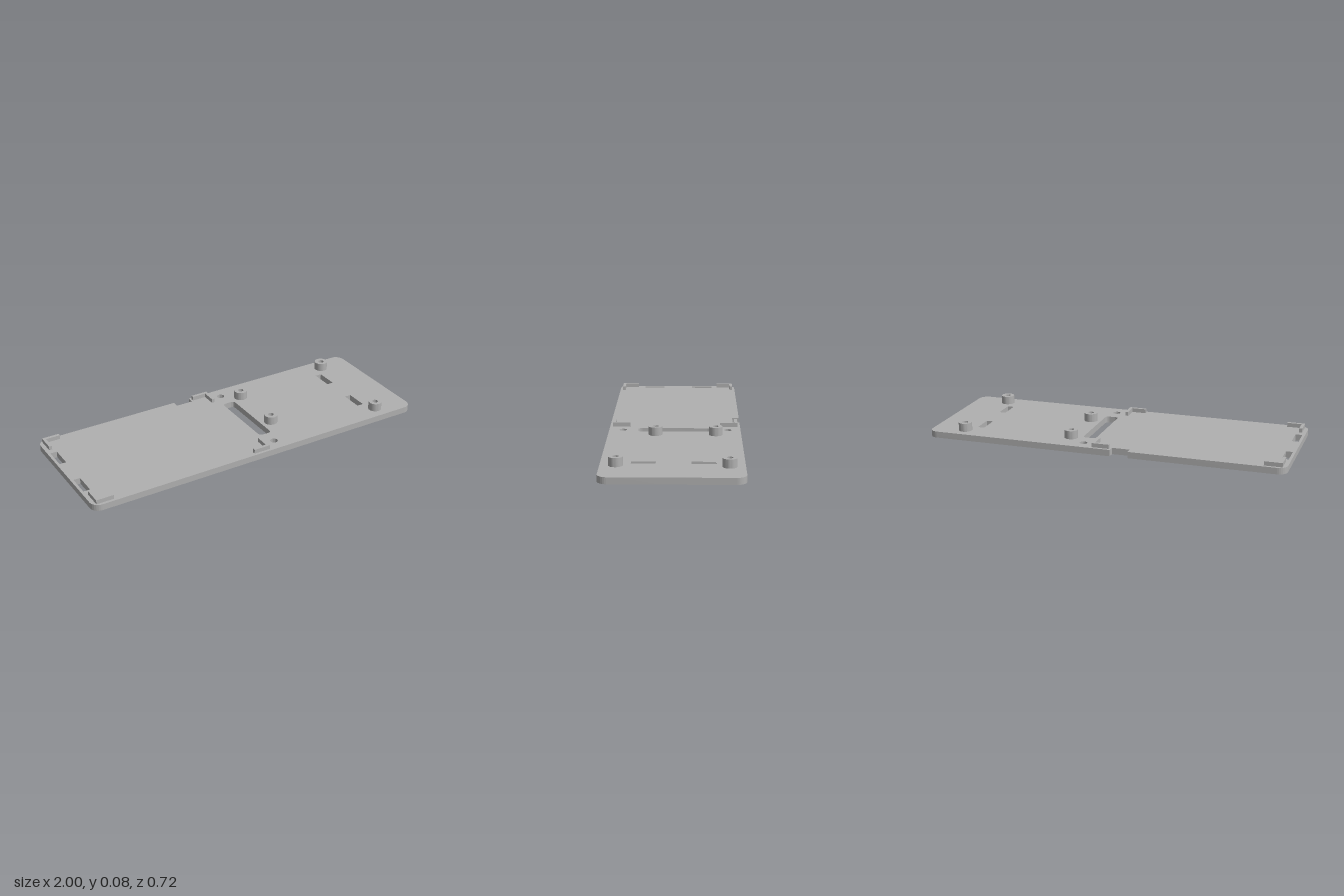
import * as THREE from 'three';
import { toCreasedNormals } from 'three/addons/utils/BufferGeometryUtils.js';

const PLATE_H = 0.035;
const POST_H = 0.081;
const BRACKET_H = 0.058;

// Shapes are drawn in plan with y = -z, then extruded upward.
function extrudeUp(shape, y0, y1) {
  const geo = new THREE.ExtrudeGeometry(shape, { depth: y1 - y0, bevelEnabled: false, curveSegments: 16 });
  geo.rotateX(-Math.PI / 2);
  geo.translate(0, y0, 0);
  return toCreasedNormals(geo, 0.6);
}

function circle(x, z, r, Type = THREE.Path) {
  const p = new Type();
  p.absarc(x, -z, r, 0, Math.PI * 2, false);
  return p;
}

function slot(x0, x1, z0, z1, r) {
  const p = new THREE.Path();
  const y0 = -z1, y1 = -z0;
  p.moveTo(x0 + r, y0);
  p.lineTo(x1 - r, y0);
  p.quadraticCurveTo(x1, y0, x1, y0 + r);
  p.lineTo(x1, y1 - r);
  p.quadraticCurveTo(x1, y1, x1 - r, y1);
  p.lineTo(x0 + r, y1);
  p.quadraticCurveTo(x0, y1, x0, y1 - r);
  p.lineTo(x0, y0 + r);
  p.quadraticCurveTo(x0, y0, x0 + r, y0);
  return p;
}

function rectHole(x0, x1, z0, z1) {
  return new THREE.Path([[x0, -z1], [x1, -z1], [x1, -z0], [x0, -z0]].map(([x, y]) => new THREE.Vector2(x, y)));
}

export function createModel() {
  const group = new THREE.Group();
  group.name = 'mountingPlate';
  const grey = new THREE.MeshStandardMaterial({ color: 0xb0b0b0 });
  grey.name = 'grey';

  const add = (name, geo) => {
    const mesh = new THREE.Mesh(geo, grey);
    mesh.name = name;
    group.add(mesh);
  };

  const posts = [[0.207, -0.222], [0.207, 0.103], [0.812, -0.281], [0.797, 0.28]];

  // Base plate: rounded corners and a notch in the rear edge
  const W = 1, D = 0.36, R = 0.05;
  const plate = new THREE.Shape();
  plate.moveTo(-W + R, -D);
  plate.lineTo(W - R, -D);
  plate.absarc(W - R, -D + R, R, -Math.PI / 2, 0, false);
  plate.lineTo(W, D - R);
  plate.absarc(W - R, D - R, R, 0, Math.PI / 2, false);
  plate.lineTo(-0.06, D);
  plate.lineTo(-0.06, 0.322);
  plate.lineTo(-0.158, 0.322);
  plate.lineTo(-0.158, D);
  plate.lineTo(-W + R, D);
  plate.absarc(-W + R, D - R, R, Math.PI / 2, Math.PI, false);
  plate.lineTo(-W, -D + R);
  plate.absarc(-W + R, -D + R, R, Math.PI, Math.PI * 1.5, false);

  // Strap slots, cable slot, screw holes and post bores
  for (const x of [-0.985, 0.731]) {
    plate.holes.push(rectHole(x, x + 0.037, -0.215, -0.092));
    plate.holes.push(rectHole(x, x + 0.037, 0.084, 0.207));
  }
  plate.holes.push(slot(0.075, 0.148, -0.2, 0.2, 0.022));
  for (const z of [-0.289, 0.284]) plate.holes.push(circle(0.112, z, 0.021));
  for (const [x, z] of posts) plate.holes.push(circle(x, z, 0.016));
  add('basePlate', extrudeUp(plate, 0, PLATE_H));

  // Hollow standoff posts
  posts.forEach(([x, z], i) => {
    const ring = circle(x, z, 0.037, THREE.Shape);
    ring.holes.push(circle(x, z, 0.016));
    add('standoff' + (i + 1), extrudeUp(ring, PLATE_H, POST_H));
  });

  // L-shaped corner brackets; sx and sz point towards the outer corner
  const L = 0.097, T = 0.017;
  for (const [cx, sx] of [[-0.977, -1], [0.048, 1]]) {
    for (const sz of [-1, 1]) {
      const corner = [[0, 0], [L, 0], [L, T], [T, T], [T, L], [0, L]]
        .map(([a, b]) => new THREE.Vector2(cx - sx * a, -sz * (0.345 - b)));
      add((sz > 0 ? 'front' : 'rear') + (sx > 0 ? 'Left' : 'Right') + 'Bracket',
        extrudeUp(new THREE.Shape(corner), PLATE_H, BRACKET_H));
    }
  }

  return group;
}
